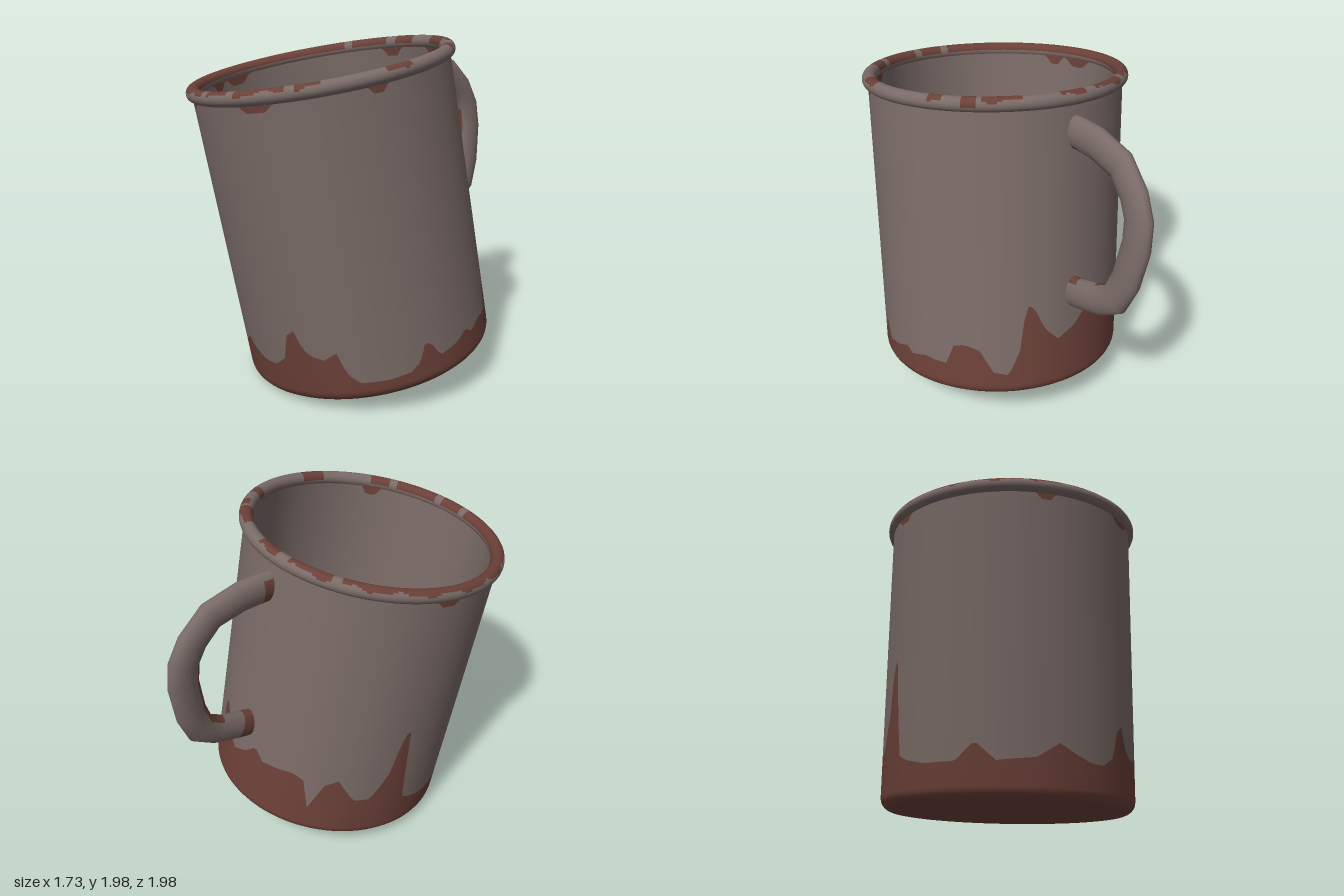
import * as THREE from 'three';

const enamel = new THREE.MeshStandardMaterial({ color: 0x7a6b67 });
enamel.name = 'greyEnamel';
const rust = new THREE.MeshStandardMaterial({ color: 0x6b4038 });
rust.name = 'rust';

const RAD = Math.PI / 180;
const COLS = 180;
const HANDLE_AZIMUTH = 63; // degrees between the handle and the +x side

// Closed sheet of rows x cols; paint(i, j) tells whether a cell is rusty
function sheet(name, rows, cols, point, paint) {
  const pos = [];
  const cells = [[], []];
  for (let i = 0; i < rows; i++)
    for (let j = 0; j < cols; j++) pos.push(...point(i, j));
  for (let i = 0; i < rows - 1; i++)
    for (let j = 0; j < cols; j++) {
      const k = (j + 1) % cols;
      const a = i * cols + j, b = a + cols, c = i * cols + k, d = c + cols;
      cells[paint(i, j) ? 1 : 0].push(a, b, c, b, d, c);
    }
  const geo = new THREE.BufferGeometry();
  geo.setAttribute('position', new THREE.Float32BufferAttribute(pos, 3));
  geo.setIndex([...cells[0], ...cells[1]]);
  geo.addGroup(0, cells[0].length, 0);
  geo.addGroup(cells[0].length, cells[1].length, 1);
  geo.computeVertexNormals();
  const mesh = new THREE.Mesh(geo, [enamel, rust]);
  mesh.name = name;
  return mesh;
}

// Azimuth of a column, in degrees from the +x side
const azimuth = (j) => ((j * 360) / COLS - HANDLE_AZIMUTH + 360) % 360;
const spin = (r, h, j) => {
  const t = (j / COLS) * Math.PI * 2;
  return [r * Math.cos(t), h, r * Math.sin(t)];
};
const near = (deg, centre, half) => Math.max(0, 1 - Math.abs(((deg - centre + 540) % 360) - 180) / half);

// Ragged top edge of the rust on the outer wall: azimuth, height
const EDGE = [
  [3, .19], [8, .2], [17, .17], [20, .21], [28, .17], [38, .15], [42, .25], [45, .25], [48, .16],
  [53, .12], [62, .11], [75, .12], [80, .18], [83, .31], [89, .27], [94, .29], [98, .33], [101, .44],
  [105, .41], [109, .26], [115, .21], [122, .21], [130, .25], [137, .3], [147, .22], [163, .2],
  [172, .3], [180, .2], [195, .2], [206, .23], [211, .26], [214, .5], [217, .8], [220, .78],
  [223, .5], [230, .31], [238, .3], [247, .45], [253, .4], [259, .2], [263, .4], [268, .43],
  [285, .4], [290, .47], [296, .39], [305, .33], [312, .42], [316, .55], [320, .58], [323, .3],
  [328, .14], [335, .16], [341, .3], [348, .33], [354, .31], [356, .19],
];
function rustEdge(deg) {
  let k = EDGE.findIndex((e) => e[0] > deg);
  if (k < 0) k = 0;
  const p = EDGE[(k + EDGE.length - 1) % EDGE.length], q = EDGE[k];
  const span = (q[0] - p[0] + 360) % 360;
  return p[1] + (q[1] - p[1]) * (((deg - p[0] + 360) % 360) / span);
}
const innerEdge = (deg) => 0.34 + 0.04 * Math.sin(deg * RAD * 5) + 0.025 * Math.sin(deg * RAD * 13 + 1);

// Chips hanging below the rim: azimuth, half width
const chips = (deg, list) => 1.7 - list.reduce((s, [c, w]) => s + 0.05 * Math.min(1, 2 * near(deg, c, w)), 0);
const outerChips = (deg) => chips(deg, [[97, 9], [143, 5], [47, 5], [216, 7]]);
const innerChips = (deg) => chips(deg, [[290, 6], [322, 6], [70, 5], [200, 8], [185, 5]]);

// Rounded corner between the flat base and a wall of radius r
function corner(r, bevel, base) {
  const pts = [[0, base], [r - bevel - 0.02, base]];
  for (let k = 0; k <= 6; k++) {
    const t = (k / 6) * Math.PI / 2;
    pts.push([r - bevel + bevel * Math.sin(t), base + bevel * (1 - Math.cos(t))]);
  }
  return pts;
}

function outerBody() {
  const R = 0.735, low = corner(R, 0.07, 0), n = low.length;
  return sheet('outerBody', n + 3, COLS, (i, j) => {
    const deg = azimuth(j);
    if (i < n) return spin(...low[i], j);
    return spin(R, [rustEdge(deg), outerChips(deg), 1.73][i - n], j);
  }, (i) => i !== n);
}

function innerBody() {
  const R = 0.695, low = corner(R, 0.05, 0.05).reverse(), n = low.length;
  return sheet('innerBody', n + 3, COLS, (i, j) => {
    const deg = azimuth(j);
    if (i > 2) return spin(...low[i - 3], j);
    return spin(R, [1.73, innerChips(deg), innerEdge(deg)][i], j);
  }, (i) => i !== 1);
}

// Rolled rim, rusty on top along one side and in scattered patches
function rim() {
  const N = 24;
  const arcs = [[125, 262], [266, 285], [293, 303], [321, 335], [352, 358], [31, 41], [69, 77], [82, 104], [109, 119]];
  return sheet('rim', N + 1, COLS, (i, j) => {
    const v = (i / N) * Math.PI * 2 - Math.PI / 2;
    return spin(0.727 + 0.04 * Math.cos(v), 1.726 + 0.04 * Math.sin(v), j);
  }, (i, j) => {
    const deg = azimuth(j), v = ((i + 0.5) / N) * 360 - 90;
    if (near(deg, 341, 4) > 0 && v > -20 && v < 100) return true;
    const wobble = 14 * Math.sin(deg * RAD * 17) + 8 * Math.sin(deg * RAD * 41);
    return v > 35 + wobble && v < 175 && arcs.some(([a, b]) => deg >= a && deg <= b);
  });
}

// Flattened tube swept along the handle's path in its own plane
function handle() {
  const path = [
    [.7, 1.542], [.79, 1.535], [.91, 1.517], [1.09, 1.45], [1.19, 1.318], [1.231, 1.196],
    [1.222, 1.055], [1.157, .841], [1.081, .705], [.962, .646], [.81, .616], [.7, .6],
  ].map((p) => new THREE.Vector2(...p));
  const sides = 16, last = path.length - 1;
  return sheet('handle', path.length, sides, (i, j) => {
    const t = path[Math.min(i + 1, last)].clone().sub(path[Math.max(i - 1, 0)]).normalize();
    const v = (j / sides) * Math.PI * 2;
    const c = Math.cos(v) * 0.092;
    return [path[i].x + t.y * c, path[i].y - t.x * c, Math.sin(v) * 0.055];
  }, (i, j) => {
    const inner = j < 2 || j > 13;
    if (i === 0) return j > 9 || j < 2;
    if (i === last - 1) return j > 7 || j < 2;
    return inner && (i === 2 || (i > 4 && i < 9 && j !== 1));
  });
}

export function createModel() {
  const mug = new THREE.Group();
  mug.name = 'mug';
  mug.add(outerBody(), innerBody(), rim(), handle());

  // Lean the mug: local y is its axis, local x points along the handle
  const axis = new THREE.Vector3(-0.15, 0.985, 0.084).normalize();
  const out = new THREE.Vector3(0.453, 0.145, -0.89);
  out.addScaledVector(axis, -out.dot(axis)).normalize();
  const side = new THREE.Vector3().crossVectors(out, axis);
  mug.quaternion.setFromRotationMatrix(new THREE.Matrix4().makeBasis(out, axis, side));
  mug.position.set(0.145, 0.115, 0.095);

  const model = new THREE.Group();
  model.name = 'leaningMug';
  model.add(mug);
  return model;
}
